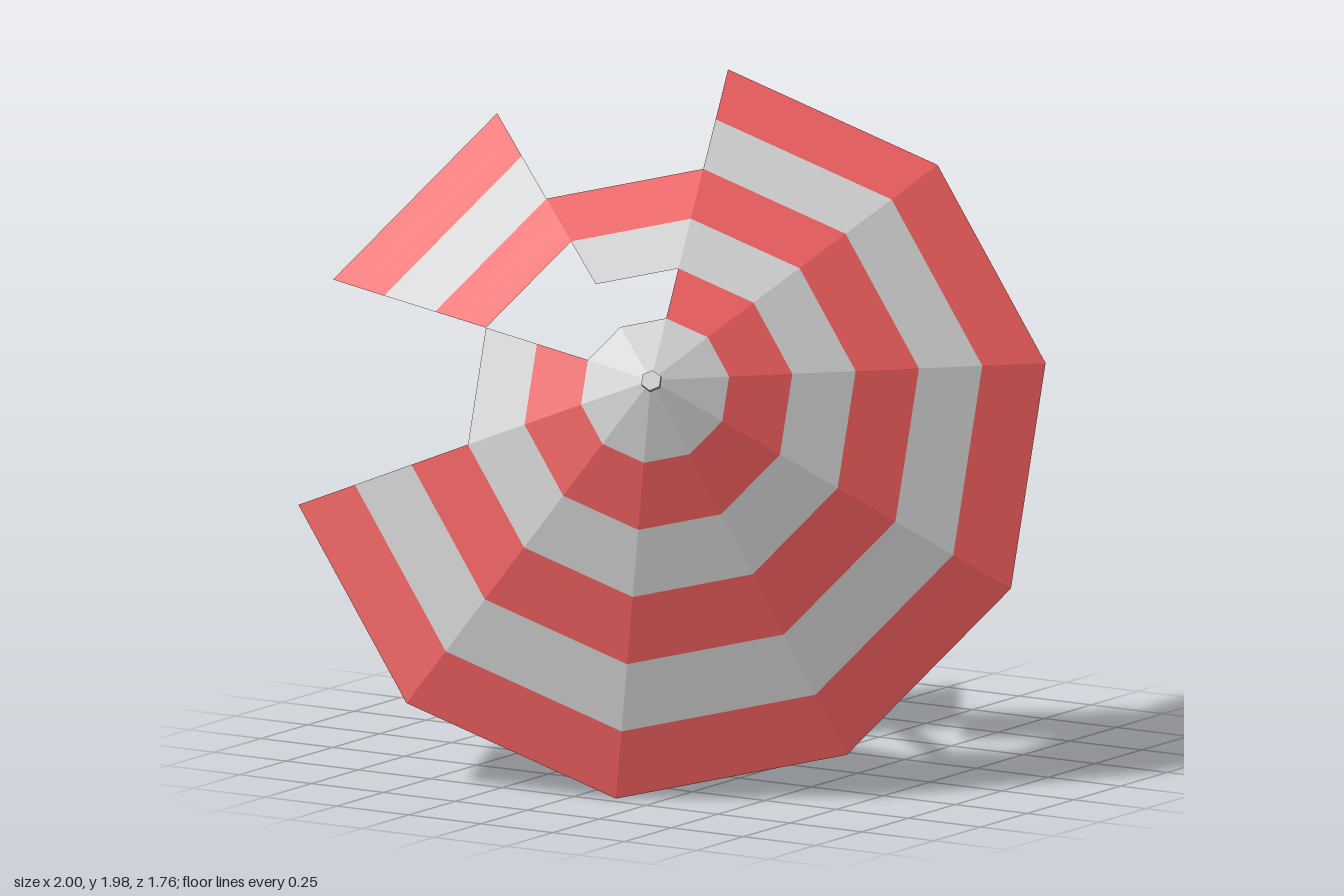
import * as THREE from 'three';

const SIDES = 10;
// Canopy rings from rim to peak: [radius, height]
const RINGS = [[1.11, 0], [0.932, 0.095], [0.754, 0.192], [0.576, 0.288], [0.398, 0.383], [0.22, 0.478], [0, 0.59]];
// Bands that remain on each torn side (0 = rim, 5 = peak); all other sides are whole
const TORN = { 7: [3, 4, 5], 8: [0, 1, 2, 5], 9: [2, 3, 5] };

const ringPoint = (ring, side) => {
  const [r, h] = RINGS[ring];
  const angle = (side % SIDES) * Math.PI * 2 / SIDES;
  return [r * Math.sin(angle), h, -r * Math.cos(angle)];
};

// One striped band, made of the flat panels still present on it
function bandGeometry(band) {
  const positions = [];
  for (let side = 0; side < SIDES; side++) {
    if (TORN[side] && !TORN[side].includes(band)) continue;
    const a = ringPoint(band, side), b = ringPoint(band, side + 1);
    const c = ringPoint(band + 1, side + 1), d = ringPoint(band + 1, side);
    positions.push(...a, ...d, ...b);
    if (band < RINGS.length - 2) positions.push(...b, ...d, ...c);
  }
  const geometry = new THREE.BufferGeometry();
  geometry.setAttribute('position', new THREE.Float32BufferAttribute(positions, 3));
  geometry.computeVertexNormals();
  return geometry;
}

export function createModel() {
  const model = new THREE.Group();
  model.name = 'tornParasol';
  const red = new THREE.MeshStandardMaterial({ color: 0xe85a5a, flatShading: true, side: THREE.DoubleSide });
  const grey = new THREE.MeshStandardMaterial({ color: 0xcccccc, flatShading: true, side: THREE.DoubleSide });

  // Tilted frame: local y runs up the pole, local -z points to the first rib
  const parasol = new THREE.Group();
  parasol.name = 'parasol';
  const up = new THREE.Vector3(0.398, 0.442, 0.804).normalize();
  const rib = new THREE.Vector3(-0.108, 0.892, -0.437);
  const across = rib.clone().cross(up).normalize();
  const back = across.clone().cross(up);
  parasol.quaternion.setFromRotationMatrix(new THREE.Matrix4().makeBasis(across, up, back));
  parasol.position.set(0, 1, 0.225);
  model.add(parasol);

  // Striped canopy
  const canopy = new THREE.Group();
  canopy.name = 'canopy';
  for (let band = 0; band < RINGS.length - 1; band++) {
    const mesh = new THREE.Mesh(bandGeometry(band), band % 2 ? grey : red);
    mesh.name = band === RINGS.length - 2 ? 'canopyPeak' : `canopyStripe${band + 1}`;
    canopy.add(mesh);
  }
  parasol.add(canopy);

  // Pole, with its top just poking through the peak
  const top = 0.59, bottom = -1.355;
  const pole = new THREE.Mesh(
    new THREE.CylinderGeometry(0.031, 0.031, top - bottom, 6),
    new THREE.MeshStandardMaterial({ color: 0xcccccc, flatShading: true })
  );
  pole.name = 'pole';
  pole.position.y = (top + bottom) / 2;
  parasol.add(pole);

  return model;
}
